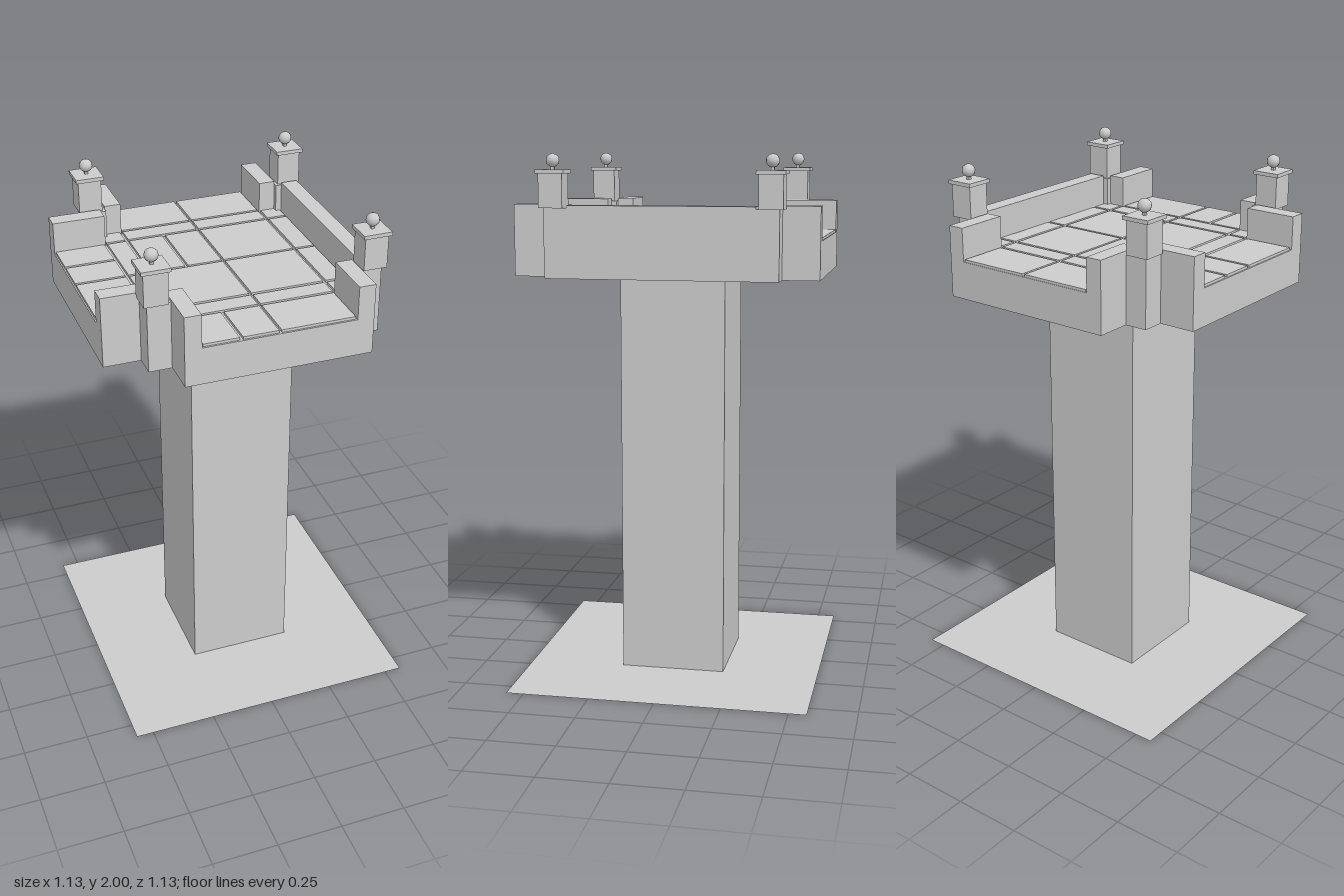
import * as THREE from 'three';

export function createModel() {
  const model = new THREE.Group();
  const stone = new THREE.MeshStandardMaterial({ color: 0xcccccc });
  stone.name = 'grey stone';
  const ground = new THREE.MeshStandardMaterial({ color: 0xcccccc, side: THREE.DoubleSide });
  ground.name = 'grey ground';

  const add = (name, geometry, parent = model, material = stone) => {
    const mesh = new THREE.Mesh(geometry, material);
    mesh.name = name;
    parent.add(mesh);
    return mesh;
  };
  // Box given by its extents on each axis
  const box = (name, x0, x1, y0, y1, z0, z1, parent) =>
    add(name, new THREE.BoxGeometry(x1 - x0, y1 - y0, z1 - z0), parent)
      .position.set((x0 + x1) / 2, (y0 + y1) / 2, (z0 + z1) / 2);

  const END = 0.567, ARM = 0.345, EDGE = 0.43, BOTTOM = 1.55, FLOOR = 1.69, RAIL = 1.815;

  // Ground sheet and column
  add('groundSheet', new THREE.PlaneGeometry(2 * END, 2 * END).rotateX(-Math.PI / 2), model, ground);
  box('column', -0.2, 0.2, 0.002, BOTTOM, -0.2, 0.2);

  // Platform slab: three arms, closed on the +x side
  const outline = [
    [-ARM, -END], [ARM, -END], [ARM, -EDGE], [EDGE, -EDGE], [EDGE, EDGE], [ARM, EDGE],
    [ARM, END], [-ARM, END], [-ARM, EDGE], [-EDGE, EDGE], [-EDGE, ARM], [-END, ARM],
    [-END, -ARM], [-EDGE, -ARM], [-EDGE, -EDGE], [-ARM, -EDGE],
  ].map(([x, y]) => new THREE.Vector2(x, y));
  const slab = new THREE.ExtrudeGeometry(new THREE.Shape(outline),
    { depth: FLOOR - BOTTOM, bevelEnabled: false });
  add('platformSlab', slab.rotateX(-Math.PI / 2)).position.y = BOTTOM;

  // Parapets beside the open arms, and the long closed parapet
  for (const s of [-1, 1]) {
    for (const t of [-1, 1]) {
      const x = s * 0.314, z = t * 0.466;
      box('armParapet', x - 0.031, x + 0.031, FLOOR, RAIL, z - 0.101, z + 0.101);
    }
    const z = s * 0.313;
    box('sideArmParapet', -END, -0.37, FLOOR, RAIL, z - 0.032, z + 0.032);
  }
  box('closedParapet', 0.367, EDGE, FLOOR, RAIL, -ARM, ARM);

  // Raised floor tiles: each row has a z span and a list of x spans
  const outer = [-0.562, -0.375], narrowL = [-0.363, -0.29], narrowR = [0.29, 0.363];
  const wideL = [-0.278, -0.005], wideR = [0.005, 0.278];
  const halfA = [-0.278, -0.147], halfB = [-0.135, -0.005];
  const rows = [
    [-0.565, -0.377, [wideL, wideR]],
    [-0.365, -0.292, [narrowL, wideL, wideR, narrowR]],
    [-0.28, -0.15, [outer]],
    [-0.138, -0.008, [outer]],
    [-0.28, -0.008, [narrowL, halfA, halfB, wideR, narrowR]],
    [0.003, 0.275, [outer, narrowL, wideL, wideR, narrowR]],
    [0.288, 0.36, [narrowL, wideL, wideR, narrowR]],
    [0.372, 0.56, [halfA, halfB, wideR]],
  ];
  const tiles = new THREE.Group();
  tiles.name = 'floorTiles';
  model.add(tiles);
  for (const [z0, z1, spans] of rows)
    for (const [x0, x1] of spans) box('tile', x0, x1, FLOOR, 1.7, z0, z1, tiles);

  // Corner posts with caps and faceted ball finials
  const ball = new THREE.IcosahedronGeometry(0.025, 1)
    .rotateZ(-Math.atan(2 / (1 + Math.sqrt(5))));
  for (const s of [-1, 1]) for (const t of [-1, 1]) {
    const post = new THREE.Group();
    post.name = 'cornerPost';
    post.position.set(s * 0.4, 0, t * 0.4);
    model.add(post);
    const px = -s * 0.0125, pz = -t * 0.0125;
    box('postBase', px - 0.0425, px + 0.0425, FLOOR, 1.805, pz - 0.0425, pz + 0.0425, post);
    box('postShaft', -0.044, 0.044, 1.805, 1.928, -0.044, 0.044, post);
    box('postCap', -0.053, 0.053, 1.928, 1.942, -0.053, 0.053, post);
    box('finialNeck', -0.006, 0.006, 1.94, 1.955, -0.006, 0.006, post);
    add('finialBall', ball, post).position.y = 1.975;
  }
  return model;
}
